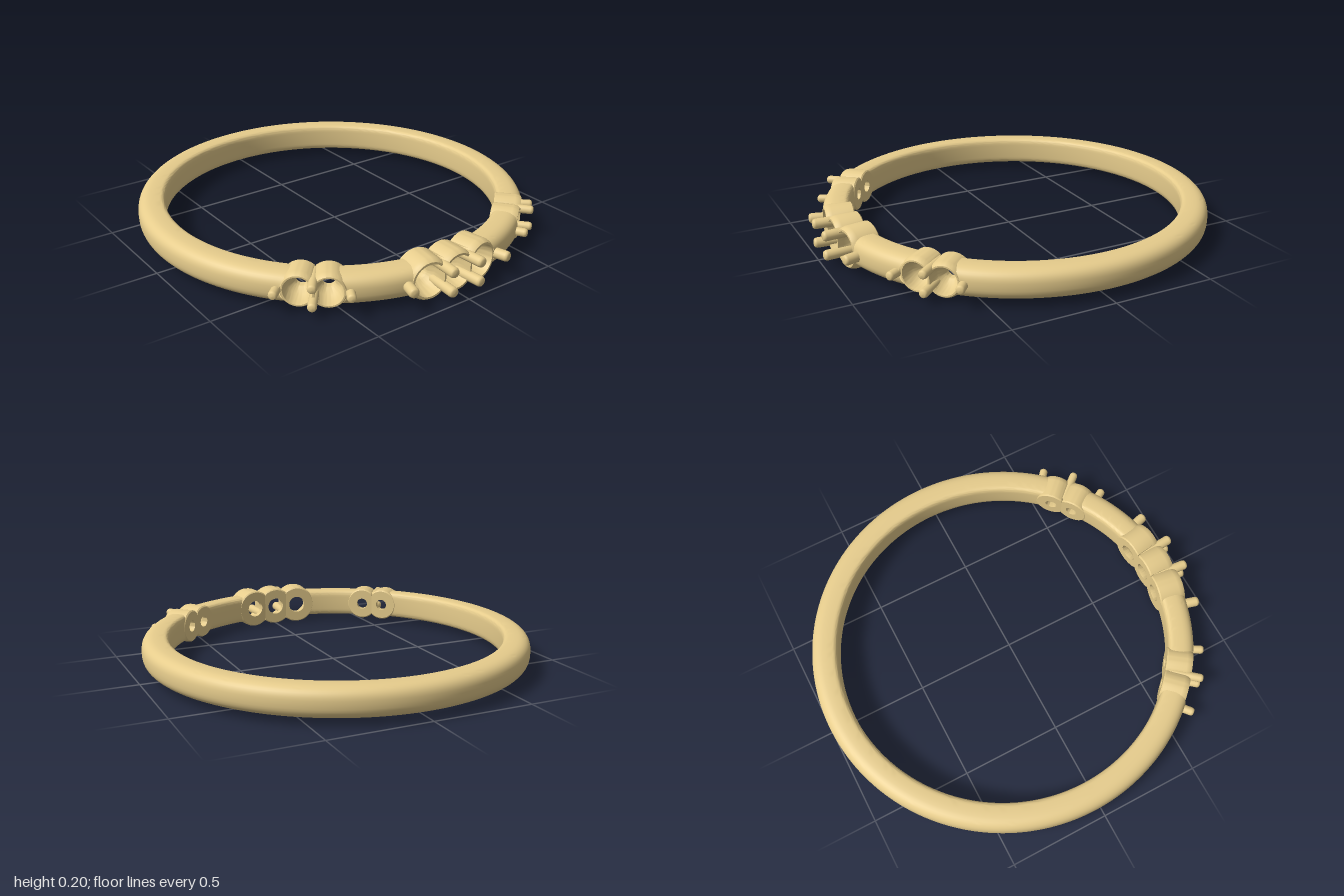
import * as THREE from 'three';
import { toCreasedNormals } from 'three/addons/utils/BufferGeometryUtils.js';

const RAD = Math.PI / 180;
const CY = 0.103, CZ = -0.035; // ring centre
const material = new THREE.MeshStandardMaterial({ color: 0xe6cc8c, side: THREE.DoubleSide });

function add(parent, geometry, name) {
  const mesh = new THREE.Mesh(geometry, material);
  mesh.name = name;
  parent.add(mesh);
  return mesh;
}

// Band cross-section as [radius, height]: domed outside, nearly flat inside
function bandSection() {
  const pts = [], n = 40;
  const pw = (v, e) => Math.sign(v) * Math.abs(v) ** e;
  for (let i = 0; i <= n; i++) {
    const t = (i / n) * Math.PI * 2, c = Math.cos(t), s = Math.sin(t);
    if (c >= 0) pts.push([0.885 + 0.08 * pw(c, 0.75), 0.072 * pw(s, 0.75)]);
    else pts.push([0.885 + 0.055 * pw(c, 0.4), 0.072 * pw(s, 0.4)]);
  }
  return pts;
}

// Arc of the band whose ends follow the round walls of the settings they meet
function bandArc(from, fromR, to, toR, segments) {
  const sec = bandSection(), pos = [], idx = [], m = sec.length;
  const trim = (R, v, r) => Math.asin(Math.sqrt(Math.max(R * R - v * v, 0)) / r);
  for (let i = 0; i <= segments; i++) {
    for (const [r, v] of sec) {
      const a = THREE.MathUtils.lerp(from * RAD + trim(fromR, v, r), to * RAD - trim(toR, v, r), i / segments);
      pos.push(r * Math.sin(a), v, r * Math.cos(a));
    }
  }
  for (let i = 0; i < segments; i++) {
    for (let j = 0; j < m - 1; j++) {
      const a = i * m + j, b = a + m;
      idx.push(a, b, a + 1, b, b + 1, a + 1);
    }
  }
  const g = new THREE.BufferGeometry();
  g.setAttribute('position', new THREE.Float32BufferAttribute(pos, 3));
  g.setIndex(idx);
  return toCreasedNormals(g, 0.7);
}

// Drilled stone cup, cut flat where it meets a neighbour
function cup({ R, bowl, hole, top, step }, cutLeft, cutRight) {
  const h0 = 0.824, mid = h0 + 0.035;
  const profile = [[hole, h0], [R - 0.006, h0], [R, h0 + 0.006], [R, top - 0.03],
    [R - 0.004, top - 0.012], [R - 0.012, top], [bowl, top], [bowl * 0.97, top - 0.03],
    [bowl * 0.85, mid + 0.025], [hole + 0.004, mid], [hole, mid - 0.006], [hole, h0]]
    .map(([a, h]) => new THREE.Vector2(a, h));
  const g = new THREE.LatheGeometry(profile, 64).rotateX(Math.PI / 2);
  const p = g.attributes.position;
  for (let i = 0; i < p.count; i++) {
    const x = p.getX(i), y = p.getY(i), z = p.getZ(i);
    const inside = Math.hypot(x, y) < bowl + 0.001;
    const half = z * Math.tan(step * RAD / 2) - (inside ? 0.004 : 0);
    const cut = x > 0 ? cutLeft : cutRight;
    if (cut && Math.abs(x) > half) {
      const k = half / Math.abs(x); // slide towards the axis
      p.setXY(i, x * k, y * k);
    }
  }
  g.deleteAttribute('normal');
  g.deleteAttribute('uv');
  return toCreasedNormals(g, 0.6);
}

// Round-tipped prong pointing outwards along z
function prong(radius, start, end) {
  const pts = [[0, start], [radius, start], [radius, end - 0.015], [radius * 0.88, end - 0.006],
    [radius * 0.6, end - 0.001], [0, end]].map(([a, h]) => new THREE.Vector2(a, h));
  return new THREE.LatheGeometry(pts, 20).rotateX(Math.PI / 2);
}

// Row of cups with single end prongs and shared pairs between neighbours
function cluster(parent, name, centre, spec) {
  const group = new THREE.Group();
  group.name = name;
  parent.add(group);
  const { count, step } = spec, first = centre - step * (count - 1) / 2;
  const addProng = (angle, y, start) => {
    const mesh = add(group, prong(spec.prong, start, spec.tip), 'prong');
    mesh.rotation.y = angle * RAD;
    mesh.position.y = y;
  };
  for (let i = 0; i < count; i++) {
    const angle = first + i * step;
    add(group, cup(spec, i < count - 1, i > 0), 'stoneCup').rotation.y = angle * RAD;
    if (i < count - 1) {
      for (const s of [-1, 1]) addProng(angle + step / 2, s * spec.pairY, 0.845);
    }
  }
  for (const s of [-1, 1]) addProng(centre + s * spec.endAngle, 0, 0.88);
}

export function createModel() {
  const model = new THREE.Group();
  model.name = 'ring';
  model.position.set(0, CY, CZ);

  const middle = { count: 3, step: 9, R: 0.101, bowl: 0.079, hole: 0.045, top: 0.96,
    prong: 0.025, pairY: 0.048, endAngle: 15.5, tip: 1.033 };
  const side = { count: 2, step: 8, R: 0.085, bowl: 0.066, hole: 0.03, top: 0.955,
    prong: 0.021, pairY: 0.044, endAngle: 9.5, tip: 1.018 };
  const sideAngle = 40;

  cluster(model, 'middleSetting', 0, middle);
  cluster(model, 'leftSetting', sideAngle, side);
  cluster(model, 'rightSetting', -sideAngle, side);

  // Band pieces between the settings
  const mR = middle.R - 0.008, sR = side.R - 0.007;
  const inner = sideAngle - side.step / 2, outer = sideAngle + side.step / 2;
  add(model, bandArc(middle.step, mR, inner, sR, 24), 'leftShoulder');
  add(model, bandArc(-inner, sR, -middle.step, mR, 24), 'rightShoulder');
  add(model, bandArc(outer, sR, 360 - outer, sR, 160), 'band');

  const root = new THREE.Group();
  root.name = 'ringModel';
  root.add(model);
  return root;
}
